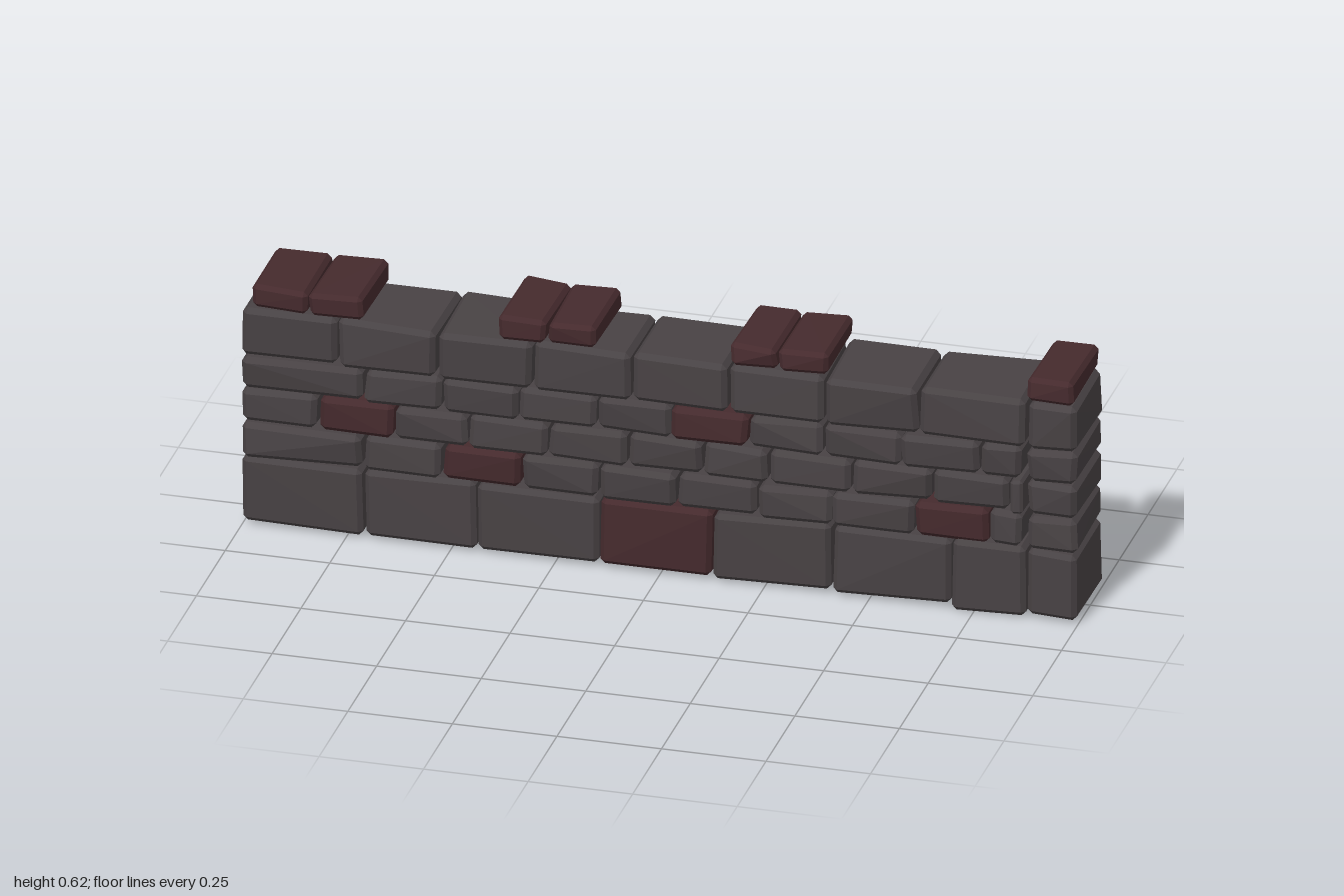
import * as THREE from 'three';
import { ConvexGeometry } from 'three/addons/geometries/ConvexGeometry.js';

const GREY = new THREE.MeshStandardMaterial({ color: 0x484244, flatShading: true });
const RED = new THREE.MeshStandardMaterial({ color: 0x452a2d, flatShading: true });

// Courses from the ground up: height range, joints between stones, red stones
const COURSES = [
  { name: 'foundation', y: [0.012, 0.178], red: [3], bevel: 0.011,
    x: [-1, -0.708, -0.438, -0.145, 0.127, 0.413, 0.697, 0.875] },
  { name: 'lowerCourse', y: [0.18, 0.265], red: [2, 8], bevel: 0.012,
    x: [-1, -0.71, -0.52, -0.332, -0.143, 0.043, 0.232, 0.413, 0.61, 0.788, 0.868] },
  { name: 'middleCourse', y: [0.268, 0.351], red: [1], bevel: 0.012,
    x: [-1, -0.818, -0.635, -0.457, -0.267, -0.077, 0.103, 0.26, 0.457, 0.652, 0.835, 0.873] },
  { name: 'upperCourse', y: [0.354, 0.436], red: [5], bevel: 0.012,
    x: [-1, -0.708, -0.52, -0.337, -0.152, 0.028, 0.213, 0.39, 0.577, 0.765, 0.868] },
  { name: 'copingCourse', y: [0.438, 0.557], red: [], bevel: 0.012,
    x: [-1, -0.77, -0.532, -0.303, -0.067, 0.165, 0.393, 0.62, 0.873] },
];
const CAPS = [[-0.977, -0.84], [-0.836, -0.71], [-0.385, -0.272], [-0.267, -0.15],
  [0.17, 0.28], [0.284, 0.4], [0.88, 0.99]];

let seed = 7;
function jitter(amount) {
  seed = (seed * 16807) % 2147483647;
  return (seed / 2147483647 * 2 - 1) * amount;
}

// Bevelled block with slightly uneven corners
function stone(name, [x0, x1], [y0, y1], depth, bevel, material) {
  const centre = new THREE.Vector3((x0 + x1) / 2, (y0 + y1) / 2, 0);
  const b = Math.min(bevel, (x1 - x0) * 0.2);
  const points = [];
  for (const sx of [-1, 1]) for (const sy of [-1, 1]) for (const sz of [-1, 1]) {
    const x = sx * (x1 - x0) / 2 + jitter(0.003);
    const y = sy * (y1 - y0) / 2 + jitter(0.003);
    const z = sz * depth / 2 + jitter(0.006);
    points.push(
      new THREE.Vector3(x, y - sy * b, z - sz * b),
      new THREE.Vector3(x - sx * b, y, z - sz * b),
      new THREE.Vector3(x - sx * b, y - sy * b, z));
  }
  // Keep the outer limits of the wall straight
  for (const p of points) {
    p.x = THREE.MathUtils.clamp(p.x, -1 - centre.x, 1 - centre.x);
    p.y = Math.max(p.y, -centre.y);
  }
  const mesh = new THREE.Mesh(new ConvexGeometry(points), material);
  mesh.name = name;
  mesh.position.copy(centre);
  return mesh;
}

export function createModel() {
  const wall = new THREE.Group();
  wall.name = 'stoneWall';
  const gap = 0.003;

  // Stone courses, each closed by an end stone on the left
  for (const { name, y, x, red, bevel } of COURSES) {
    const course = new THREE.Group();
    course.name = name;
    x.forEach((start, i) => {
      const last = i === x.length - 1;
      const from = last ? 0.88 : start + (i ? gap : 0);
      const to = last ? 0.997 : x[i + 1] - gap;
      // The short foundation stone beside the end stone sits lower
      const low = name === 'foundation' && i === 6;
      course.add(stone(last ? 'endStone' : 'stone', [from, to], low ? [0.003, 0.183] : y,
        0.227 + jitter(0.005), bevel, red.includes(i) ? RED : GREY));
    });
    wall.add(course);
  }

  // Red cap stones standing like battlements along the top
  const caps = new THREE.Group();
  caps.name = 'capStones';
  for (const span of CAPS) caps.add(stone('capStone', span, [0.56, 0.616], 0.23, 0.01, RED));
  wall.add(caps);
  return wall;
}
